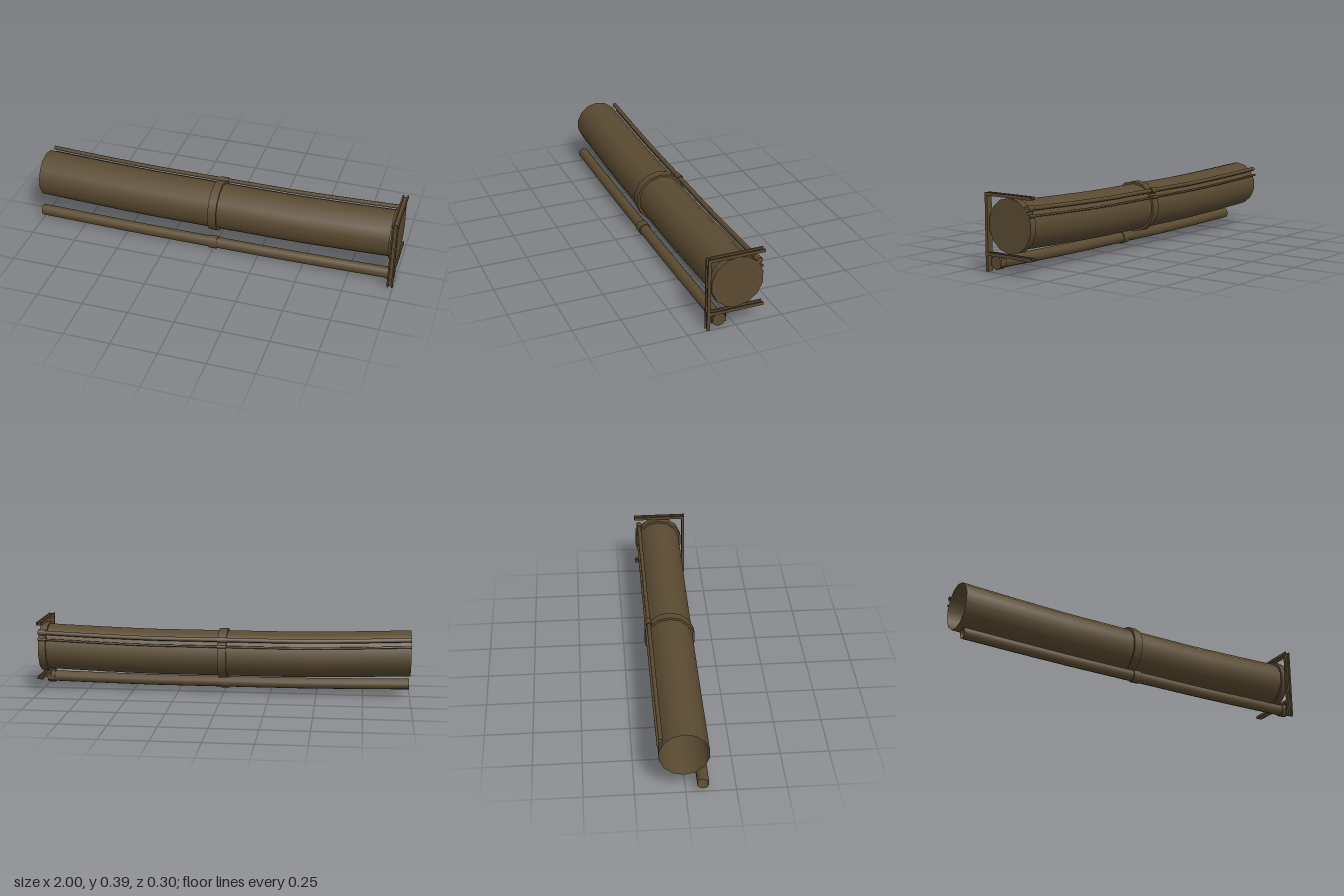
import * as THREE from 'three';

const bronze = new THREE.MeshStandardMaterial({ color: 0x5a4a31, side: THREE.DoubleSide });

// Sag of the run: nearly flat in the middle, rising to both ends (0..1)
const sag = x => {
  const t = Math.abs(x);
  return t < 0.35 ? 0 : Math.pow((t - 0.35) / 0.65, 1.35);
};

// Tube along x that follows the sag; y is its height at mid span
function run(name, x0, x1, r, sides, y, z, rise, open = true) {
  const n = Math.max(1, Math.round((x1 - x0) * 8));
  const g = new THREE.CylinderGeometry(r, r, x1 - x0, sides, n, open);
  g.rotateY(Math.PI / 2);
  g.rotateZ(-Math.PI / 2);
  // turn so that one corner points straight up
  const p = g.attributes.position;
  let top = 0;
  for (let i = 1; i < p.count; i++) if (p.getY(i) > p.getY(top)) top = i;
  g.rotateX(-Math.atan2(p.getZ(top), p.getY(top)));
  for (let i = 0; i < p.count; i++) {
    const x = p.getX(i) + (x0 + x1) / 2;
    p.setXYZ(i, x, p.getY(i) + y + rise * sag(x), p.getZ(i) + z);
  }
  const m = new THREE.Mesh(g, bronze);
  m.name = name;
  return m;
}

// Channel bar with a U section, opening towards +y, lying along z
function channel(name, length) {
  const w = 0.016, h = 0.016, t = 0.004;
  const s = new THREE.Shape([
    [-w, 0], [w, 0], [w, h], [w - t * 2, h], [w - t * 2, t],
    [-w + t * 2, t], [-w + t * 2, h], [-w, h],
  ].map(a => new THREE.Vector2(...a)));
  const g = new THREE.ExtrudeGeometry(s, { depth: length, bevelEnabled: false });
  const m = new THREE.Mesh(g, bronze);
  m.name = name;
  return m;
}

export function createModel() {
  const model = new THREE.Group();
  model.name = 'pipeRun';

  // Pipes: name, radius, collar radius, sides, mid height, z, rise at the ends
  const pipes = [
    ['mainPipe', 0.125, 0.1375, 14, 0.219, -0.008, 0.02],
    ['smallPipe', 0.03, 0.035, 10, 0.039, 0.085, 0.01],
    ['upperCable', 0.012, 0.017, 6, 0.313, -0.121, 0.02],
    ['lowerCable', 0.006, 0.009, 6, 0.278, -0.134, 0.02],
  ];
  for (const [name, r, collar, sides, y, z, rise] of pipes) {
    model.add(run(name, -1, 0.99, r, sides, y, z, rise));
    model.add(run(name + 'MiddleCollar', -0.023, 0.023, collar, sides, y, z, rise, false));
    model.add(run(name + 'EndCollar', 0.955, 0.995, collar, sides, y, z, rise, false));
  }

  // Support frame at the end: post and two arms
  const frame = new THREE.Group();
  frame.name = 'supportFrame';
  const post = channel('post', 0.392);
  post.rotation.x = -Math.PI / 2;
  post.scale.y = -1;
  post.position.set(0.984, 0, 0.134);
  post.geometry.scale(1, -1, 1);
  post.scale.y = 1;
  // rebuild winding after the mirror
  const px = post.geometry.attributes.position;
  for (let i = 0; i < px.count; i += 3) {
    const a = new THREE.Vector3().fromBufferAttribute(px, i + 1);
    const b = new THREE.Vector3().fromBufferAttribute(px, i + 2);
    px.setXYZ(i + 1, b.x, b.y, b.z);
    px.setXYZ(i + 2, a.x, a.y, a.z);
  }
  post.geometry.computeVertexNormals();
  frame.add(post);
  for (const [name, y] of [['upperArm', 0.376], ['lowerArm', 0.08]]) {
    const arm = channel(name, 0.283);
    arm.position.set(0.984, y, -0.148);
    frame.add(arm);
  }

  // Strap that hangs the small pipe below the lower arm
  for (const side of [-1, 1]) {
    const strap = new THREE.Mesh(new THREE.BoxGeometry(0.02, 0.05, 0.002), bronze);
    strap.name = 'strapSide';
    strap.position.set(0.984, 0.056, 0.085 + side * 0.035);
    frame.add(strap);
  }
  model.add(frame);
  return model;
}
